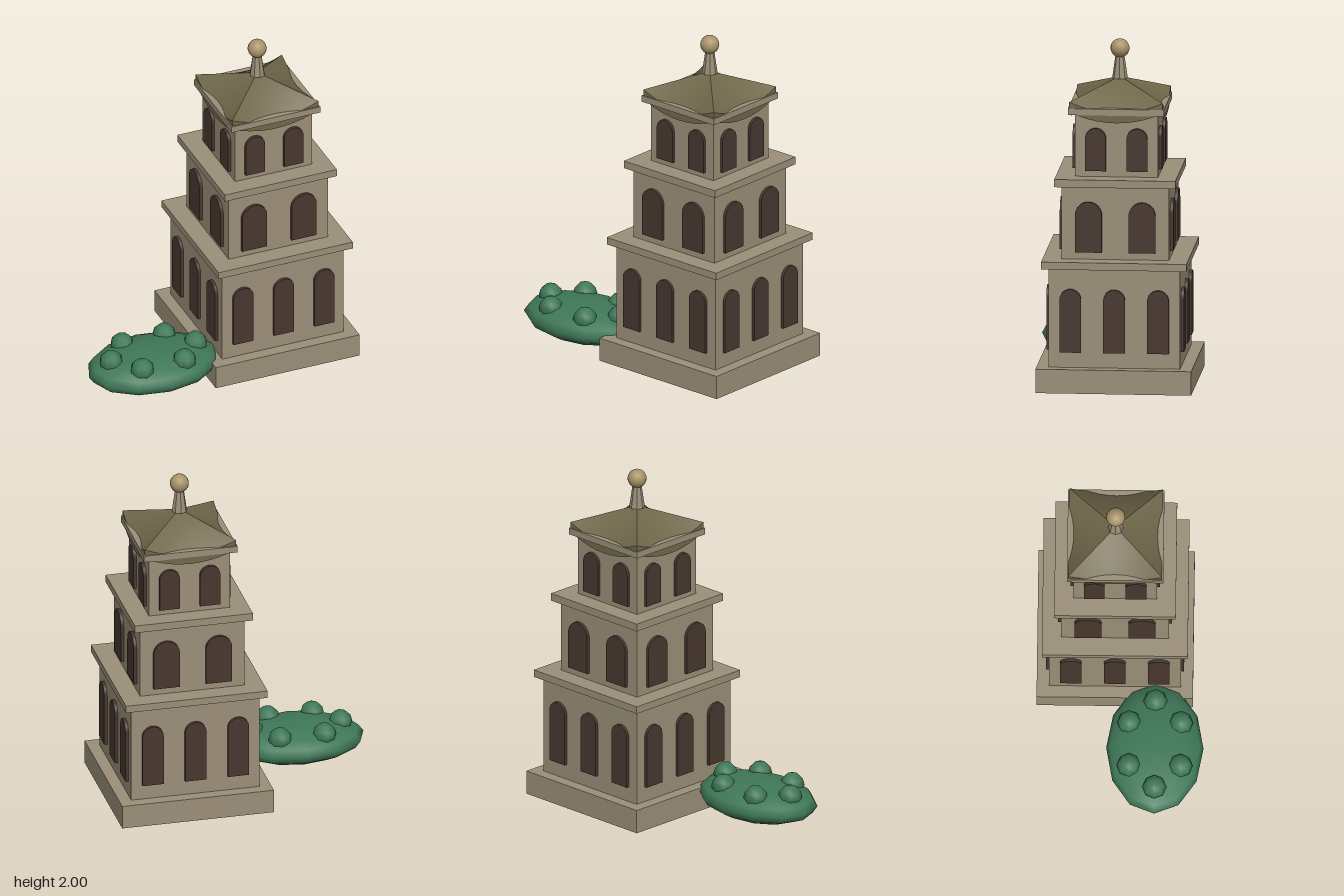
import * as THREE from 'three';
import { ParametricGeometry } from 'three/addons/geometries/ParametricGeometry.js';

const material = (name, color, flatShading = false) => {
  const m = new THREE.MeshStandardMaterial({ color, flatShading });
  m.name = name;
  return m;
};

export function createModel() {
  const stone = material('stone', 0x9a8f78);
  const roofTile = material('roof tile', 0x70674a);
  const darkWood = material('dark wood', 0x48372f);
  const gold = material('dull gold', 0xa8946a);
  const leaf = material('leaf green', 0x3f7858);

  const model = new THREE.Group();
  model.name = 'pagodaWithShrub';
  const add = (parent, name, geometry, mat, x = 0, y = 0, z = 0) => {
    const mesh = new THREE.Mesh(geometry, mat);
    mesh.name = name;
    mesh.position.set(x, y, z);
    parent.add(mesh);
    return mesh;
  };

  const tower = new THREE.Group();
  tower.name = 'tower';
  tower.position.set(0.35, 0, -0.035);
  model.add(tower);

  // Square slab between two heights
  const slab = (name, width, y0, y1) =>
    add(tower, name, new THREE.BoxGeometry(width, y1 - y0, width), stone, 0, (y0 + y1) / 2, 0);

  // Round-topped window standing on y = 0
  const archGeometry = (width, height) => {
    const r = width / 2;
    const shape = new THREE.Shape();
    shape.moveTo(-r, 0);
    shape.lineTo(r, 0);
    shape.lineTo(r, height - r);
    shape.absarc(0, height - r, r, 0, Math.PI, false);
    shape.closePath();
    return new THREE.ExtrudeGeometry(shape, { depth: 0.03, bevelEnabled: false, curveSegments: 12 });
  };

  slab('base', 0.9, 0, 0.14);

  // Three storeys, each with a ledge and windows on all four sides
  const storeys = [
    { width: 0.76, y0: 0.14, y1: 0.72, ledge: 0.84, ledgeTop: 0.763, count: 3, win: [0.125, 0.23, 0.6] },
    { width: 0.62, y0: 0.763, y1: 1.19, ledge: 0.7, ledgeTop: 1.235, count: 2, win: [0.155, 0.805, 1.1] },
    { width: 0.48, y0: 1.235, y1: 1.6, ledge: 0.555, ledgeTop: 1.638, count: 2, win: [0.12, 1.27, 1.52] },
  ];
  storeys.forEach((s, level) => {
    slab(`storey${level + 1}`, s.width, s.y0, s.y1);
    slab(`ledge${level + 1}`, s.ledge, s.y1, s.ledgeTop);
    const arch = archGeometry(s.win[0], s.win[2] - s.win[1]);
    for (let side = 0; side < 4; side++) {
      const wall = new THREE.Group();
      wall.name = `windows${level + 1}`;
      wall.rotation.y = side * Math.PI / 2;
      tower.add(wall);
      for (let i = 0; i < s.count; i++) {
        const x = (i - (s.count - 1) / 2) * s.width / s.count;
        add(wall, 'window', arch, darkWood, x, s.win[1], s.width / 2 - 0.012);
      }
    }
  });

  // Sagging roof with straight hips and raised corners
  const half = 0.27, thickness = 0.06;
  const roofY = (s, u) => 1.78 - 0.105 * u - 0.06 * u * u * (1 - s * s);
  const patch = (fn, rows) => {
    const g = new ParametricGeometry(fn, 10, rows);
    g.computeVertexNormals();
    return g;
  };
  const reach = (v) => 0.01 + 0.99 * v;
  const roofTop = patch((a, v, p) => {
    const s = 1 - 2 * a, u = reach(v);
    p.set(s * u * half, roofY(s, u), u * half);
  }, 8);
  const roofUnder = patch((a, v, p) => {
    const s = 2 * a - 1, u = reach(v);
    p.set(s * u * half, roofY(s, u) - thickness, u * half);
  }, 8);
  const roofRim = patch((a, v, p) => {
    const s = 2 * a - 1;
    p.set(s * half, roofY(s, 1) - thickness * (1 - v), half);
  }, 1);
  const roof = new THREE.Group();
  roof.name = 'roof';
  tower.add(roof);
  for (let side = 0; side < 4; side++) {
    [['roofTop', roofTop], ['roofUnderside', roofUnder], ['roofRim', roofRim]].forEach(([name, g]) => {
      add(roof, name, g, roofTile).rotation.y = side * Math.PI / 2;
    });
  }

  // Spire and ball finial
  const spireStone = stone.clone();
  spireStone.flatShading = true;
  spireStone.name = 'faceted stone';
  add(tower, 'spire', new THREE.CylinderGeometry(0.025, 0.045, 0.14, 8), spireStone, 0, 1.84, 0);
  add(tower, 'finial', new THREE.SphereGeometry(0.055, 16, 12), gold, 0, 1.945, 0);

  // Low shrub with a ring of tufts
  const shrub = new THREE.Group();
  shrub.name = 'shrub';
  shrub.position.set(-0.4, 0.12, 0.2);
  model.add(shrub);
  const body = new THREE.SphereGeometry(1, 12, 8).scale(0.4, 0.11, 0.28);
  add(shrub, 'shrubBody', body, leaf);
  const tuft = new THREE.SphereGeometry(0.07, 8, 6);
  for (let i = 0; i < 6; i++) {
    const a = i * Math.PI / 3;
    add(shrub, 'tuft', tuft, leaf, 0.263 * Math.cos(a), 0.075, 0.172 * Math.sin(a));
  }

  return model;
}
